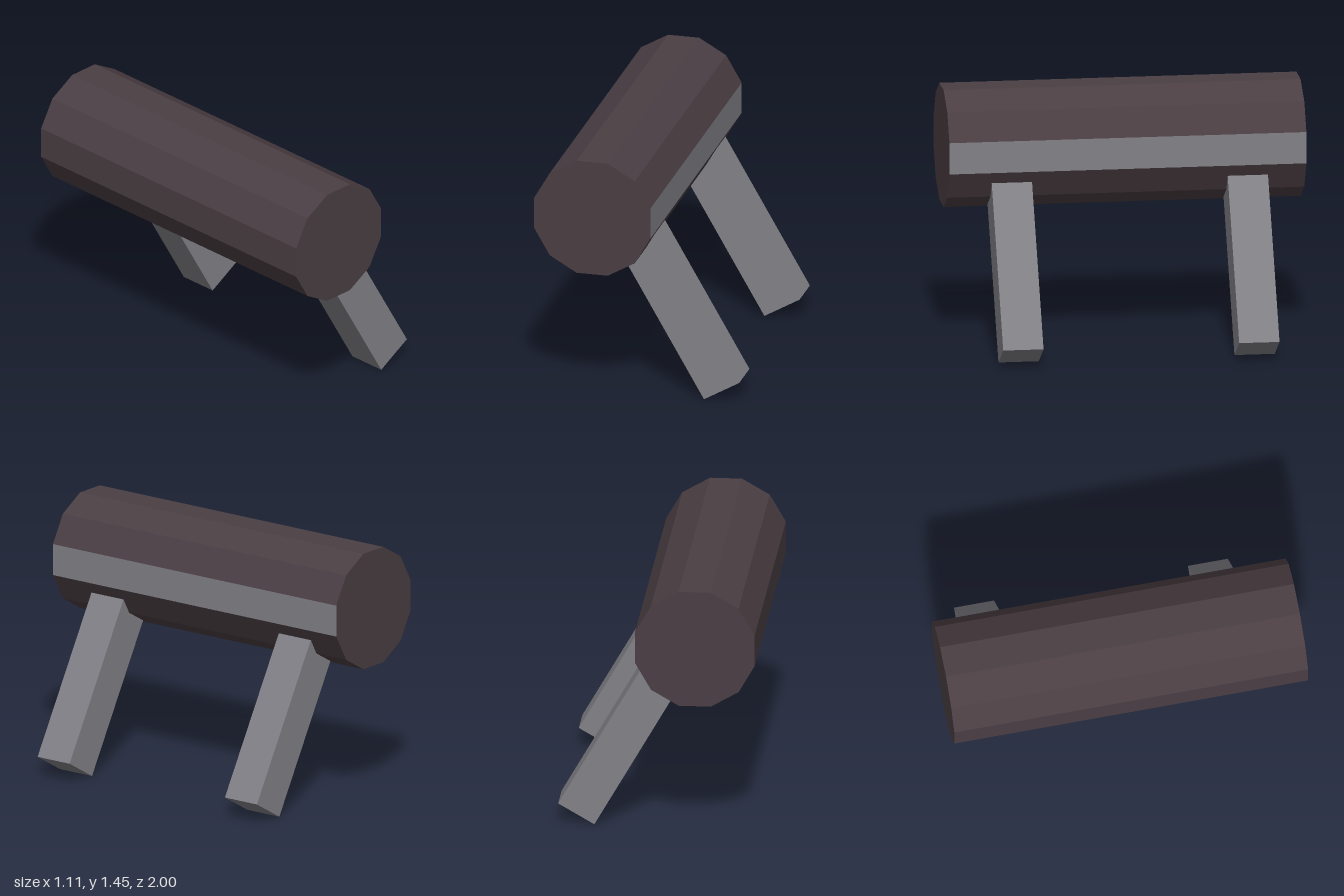
import * as THREE from 'three';

export function createModel() {
  const model = new THREE.Group();
  const darkBrown = new THREE.MeshStandardMaterial({ color: 0x4a3e43, flatShading: true });
  darkBrown.name = 'darkBrown';
  const grey = new THREE.MeshStandardMaterial({ color: 0x818187, flatShading: true });
  grey.name = 'grey';

  // Twelve-sided barrel lying along z; the facet facing +x is grey
  const apothem = 0.3335;
  const sides = 12;
  const barrelGeometry = new THREE.CylinderGeometry(
    apothem / Math.cos(Math.PI / sides), apothem / Math.cos(Math.PI / sides),
    2, sides, 1, false, Math.PI / sides
  ).rotateX(Math.PI / 2);
  const stripeStart = 2 * 6; // third facet, six indices each
  barrelGeometry.clearGroups();
  barrelGeometry.addGroup(0, stripeStart, 0);
  barrelGeometry.addGroup(stripeStart, 6, 1);
  barrelGeometry.addGroup(stripeStart + 6, barrelGeometry.index.count - stripeStart - 6, 0);
  const barrel = new THREE.Mesh(barrelGeometry, [darkBrown, grey]);
  barrel.name = 'barrel';
  barrel.position.set(-0.225, 1.112, 0);
  model.add(barrel);

  // Two slanted legs, sunk into the underside of the barrel
  const legGeometry = new THREE.BoxGeometry(0.233, 1.15, 0.226).translate(0, 0.575, 0);
  for (const [name, z] of [['frontLeg', 0.645], ['backLeg', -0.677]]) {
    const leg = new THREE.Mesh(legGeometry, grey);
    leg.name = name;
    leg.position.set(0.454, 0.058, z);
    leg.rotation.z = Math.PI / 6;
    model.add(leg);
  }

  return model;
}
